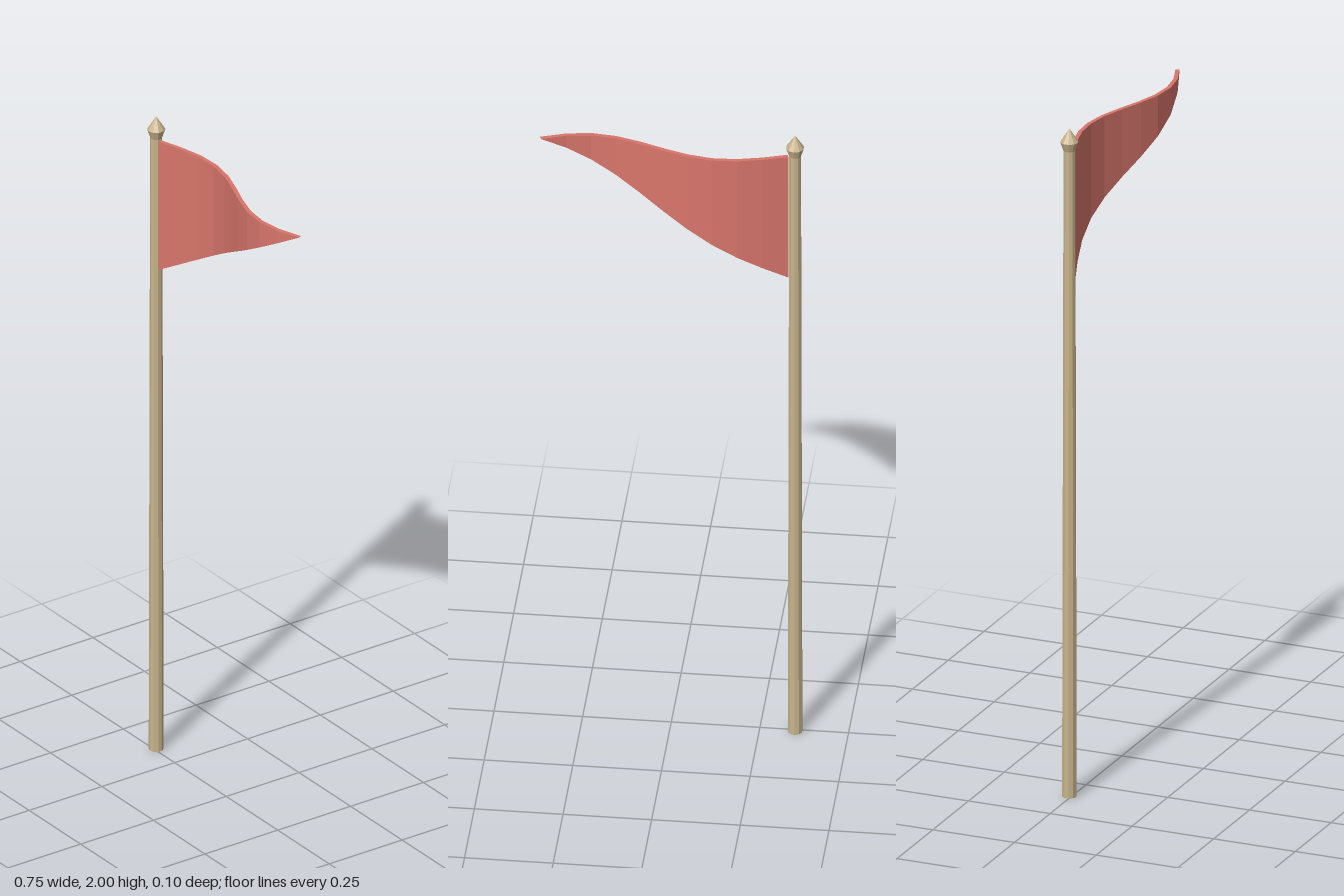
import * as THREE from 'three';

const POLE_X = -0.35, POLE_Z = -0.007;
const FLAG_START = -0.33, FLAG_LENGTH = 0.7, FLAG_TOP = 1.93, FLAG_HEIGHT = 0.405;

const wood = new THREE.MeshStandardMaterial({ color: 0xc8b48c, flatShading: true });
const cloth = new THREE.MeshStandardMaterial({ color: 0xd9766c, flatShading: true });

function addMesh(group, name, geometry, material) {
  const mesh = new THREE.Mesh(geometry, material);
  mesh.name = name;
  group.add(mesh);
  return mesh;
}

// Ripple of the cloth along its length (u from 0 at the pole to 1 at the tip)
const ripple = (u) => -0.006 - (0.038 + 0.014 * u) * Math.sin(6 * u);

// Thin slab tapered to a point and bent along the ripple
function pennantGeometry() {
  const geometry = new THREE.BoxGeometry(1, 1, 0.012, 10, 1, 1);
  const p = geometry.attributes.position;
  for (let i = 0; i < p.count; i++) {
    const u = p.getX(i) + 0.5;
    const down = 0.5 - p.getY(i);
    const offset = p.getZ(i);
    const slope = (ripple(u + 0.01) - ripple(u - 0.01)) / (0.02 * FLAG_LENGTH);
    const n = Math.hypot(1, slope);
    p.setXYZ(
      i,
      FLAG_START + u * FLAG_LENGTH - (offset * slope) / n,
      FLAG_TOP - down * FLAG_HEIGHT * (1 - u),
      ripple(u) + offset / n
    );
  }
  geometry.computeVertexNormals();
  return geometry;
}

export function createModel() {
  const model = new THREE.Group();
  model.name = 'pennantOnPole';

  // Slightly tapered pole
  const pole = addMesh(model, 'pole', new THREE.CylinderGeometry(0.017, 0.021, 1.94, 10), wood);
  pole.position.set(POLE_X, 0.97, POLE_Z);

  // Pointed finial
  const profile = [[0, 1.925], [0.014, 1.925], [0.026, 1.96], [0, 2]].map(([r, y]) => new THREE.Vector2(r, y));
  const finial = addMesh(model, 'finial', new THREE.LatheGeometry(profile, 10), wood);
  finial.position.set(POLE_X, 0, POLE_Z);

  // Waving triangular flag
  addMesh(model, 'pennant', pennantGeometry(), cloth);

  return model;
}
